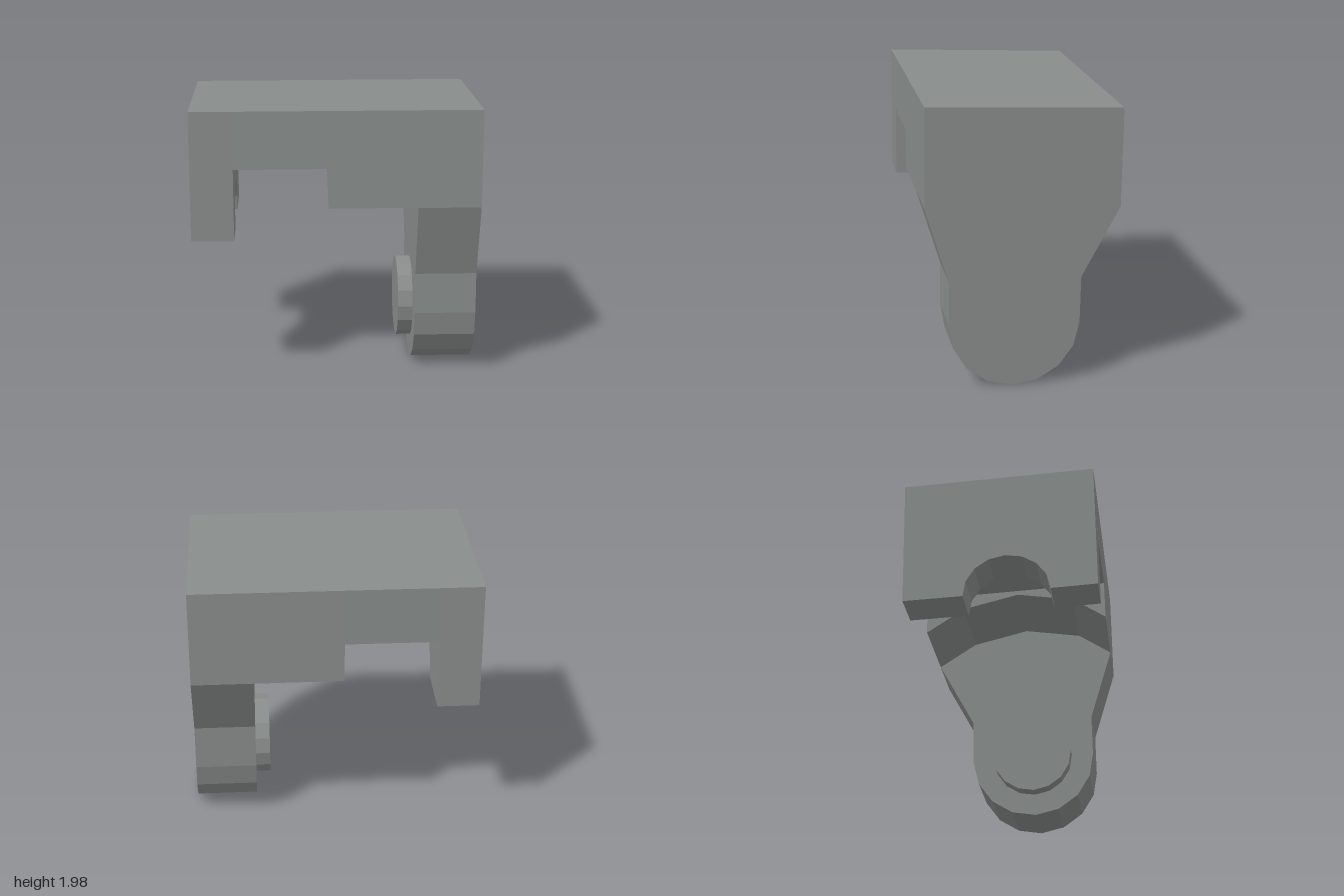
import * as THREE from 'three';

const TILT = 0.041;              // the whole part leans slightly about x
const PIVOT = [0.0625, 0.457];   // hinge axis (z, y)

// points on a 16-sided circle about a (z, y) centre, from step a to step b
function arc([cz, cy], r, a, b, ry = r) {
  const pts = [];
  const dir = Math.sign(b - a);
  for (let i = a; i !== b + dir; i += dir) {
    const t = (i * Math.PI) / 8;
    const u = r * Math.cos(t), v = ry * Math.sin(t);
    pts.push([cz + u - v * TILT, cy + v + u * TILT]);
  }
  return pts;
}

// extrude a (z, y) profile along x from x0 to x1
function slab(name, profile, x0, x1, material) {
  const shape = new THREE.Shape(profile.map(([z, y]) => new THREE.Vector2(z, y)));
  const geo = new THREE.ExtrudeGeometry(shape, { depth: x1 - x0, bevelEnabled: false });
  geo.rotateY(-Math.PI / 2);
  geo.translate(x1, 0, 0);
  const mesh = new THREE.Mesh(geo, material);
  mesh.name = name;
  return mesh;
}

export function createModel() {
  const grey = new THREE.MeshStandardMaterial({ color: 0x888c8a, flatShading: true });
  grey.name = 'grey';
  const group = new THREE.Group();
  group.name = 'hingeBracket';

  const top = [[-0.67, 1.932], [0.66, 1.987]];

  // short leg with a half-round socket in its underside
  const socket = arc([0.052, 1.053], 0.3, 0, 8, 0.285);
  group.add(slab('socketLeg',
    [...top, [0.672, 1.08], ...socket, [-0.66, 1.027]], -1, -0.705, grey));

  // thin bridge over the gap
  group.add(slab('bridge',
    [...top, [0.666, 1.585], [-0.664, 1.53]], -0.705, -0.055, grey));

  // step with an arched underside concentric with the hinge
  const arch = arc(PIVOT, 1.07, 3, 5);
  group.add(slab('archedStep',
    [...top, [0.67, 1.305], ...arch, [-0.661, 1.25]], -0.055, 0.565, grey));

  // long arm with a rounded end
  const tip = arc(PIVOT, 0.453, 0, -8);
  group.add(slab('hingeArm',
    [...top, [0.67, 1.303], [0.51, 0.77], ...tip, [-0.397, 0.765], [-0.661, 1.25]],
    0.565, 1, grey));

  // hinge peg on the inner face of the arm
  group.add(slab('hingePeg', arc(PIVOT, 0.294, 0, 15), 0.46, 0.575, grey));

  return group;
}
